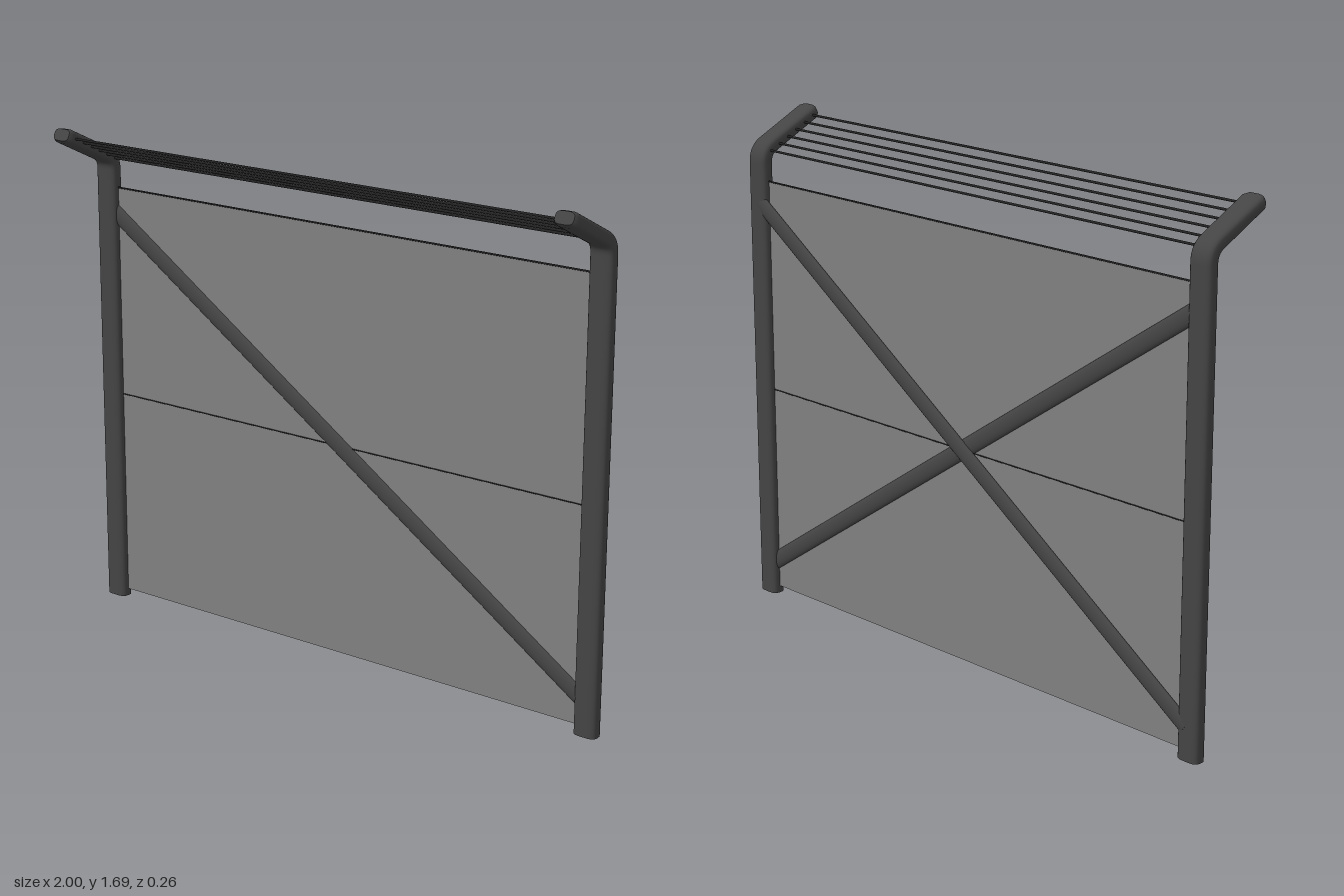
import * as THREE from 'three';

const dark = new THREE.MeshStandardMaterial({ color: 0x444444 });
const wireMat = new THREE.MeshStandardMaterial({ color: 0x222222 });
const panelMat = new THREE.MeshStandardMaterial({ color: 0x808080, side: THREE.DoubleSide });

const POST_Z = -0.103;
const INNER = 0.92;

// Sweeps a rounded flat section along a path in the yz plane; each station is [z, y, scale]
function sweepPost(stations, halfW, halfD, sides = 24) {
  const pos = [], index = [];
  const round = (v) => Math.sign(v) * Math.abs(v) ** 0.6;
  const rings = stations.map(([z, y, s], i) => {
    const a = stations[Math.max(i - 1, 0)];
    const b = stations[Math.min(i + 1, stations.length - 1)];
    const len = Math.hypot(b[0] - a[0], b[1] - a[1]);
    const tz = (b[0] - a[0]) / len, ty = (b[1] - a[1]) / len;
    return Array.from({ length: sides }, (_, j) => {
      const t = (j / sides) * Math.PI * 2;
      const u = round(Math.cos(t)) * halfW * s, v = round(Math.sin(t)) * halfD * s;
      return [u, y + v * tz, z - v * ty];
    });
  });
  rings.forEach((ring) => ring.forEach((p) => pos.push(...p)));
  for (let i = 0; i < rings.length - 1; i++) {
    for (let j = 0; j < sides; j++) {
      const a = i * sides + j, b = i * sides + ((j + 1) % sides);
      index.push(a, b, b + sides, a, b + sides, a + sides);
    }
  }
  // end caps with their own vertices so the rims stay sharp
  [rings[0], rings[rings.length - 1]].forEach((ring, end) => {
    const base = pos.length / 3;
    ring.forEach((p) => pos.push(...p));
    for (let j = 1; j < sides - 1; j++) {
      if (end) index.push(base, base + j, base + j + 1);
      else index.push(base, base + j + 1, base + j);
    }
  });
  const geo = new THREE.BufferGeometry();
  geo.setAttribute('position', new THREE.Float32BufferAttribute(pos, 3));
  geo.setIndex(index);
  geo.computeVertexNormals();
  return geo;
}

export function createModel() {
  const model = new THREE.Group();
  const add = (name, geo, mat, x = 0, y = 0, z = 0) => {
    const mesh = new THREE.Mesh(geo, mat);
    mesh.name = name;
    mesh.position.set(x, y, z);
    model.add(mesh);
    return mesh;
  };

  // posts with a bent arm leaning forward at the top
  const bend = new THREE.QuadraticBezierCurve(
    new THREE.Vector2(POST_Z, 1.52),
    new THREE.Vector2(POST_Z, 1.56),
    new THREE.Vector2(-0.067, 1.577),
  ).getPoints(8).map((p) => [p.x, p.y, 1]);
  const postGeo = sweepPost(
    [[POST_Z, 0, 1], [POST_Z, 1.5, 1], ...bend, [-0.04, 1.59, 1], [0.106, 1.661, 1], [0.12, 1.668, 0.8]],
    0.04, 0.025,
  );
  add('leftPost', postGeo, dark, 0.96);
  add('rightPost', postGeo, dark, -0.96);

  // infill panel with a seam across the middle and a wire along the top
  add('panel', new THREE.PlaneGeometry(INNER * 2, 1.435), panelMat, 0, 0.742, POST_Z);
  const wire = (name, r, y, z) =>
    add(name, new THREE.CylinderGeometry(r, r, INNER * 2 + 0.02, 8), wireMat, 0, y, z).rotateZ(Math.PI / 2);
  wire('panelSeam', 0.002, 0.74, POST_Z);
  wire('panelTopWire', 0.003, 1.46, POST_Z);

  // flattened crossing braces: one through the panel, one behind it
  const dx = 1.9, dy = 1.28;
  const braceGeo = new THREE.CylinderGeometry(0.029, 0.029, Math.hypot(dx, dy), 20).scale(1, 1, 0.43);
  const angle = Math.atan2(dx, dy);
  add('frontBrace', braceGeo, dark, 0, 0.745, POST_Z).rotation.z = angle;
  add('backBrace', braceGeo, dark, 0, 0.745, POST_Z - 0.013).rotation.z = -angle;

  // six strands strung between the arms
  for (let i = 0; i < 6; i++) wire('armWire', 0.004, 1.562 + i * 0.0186, -0.09 + i * 0.037);

  return model;
}
